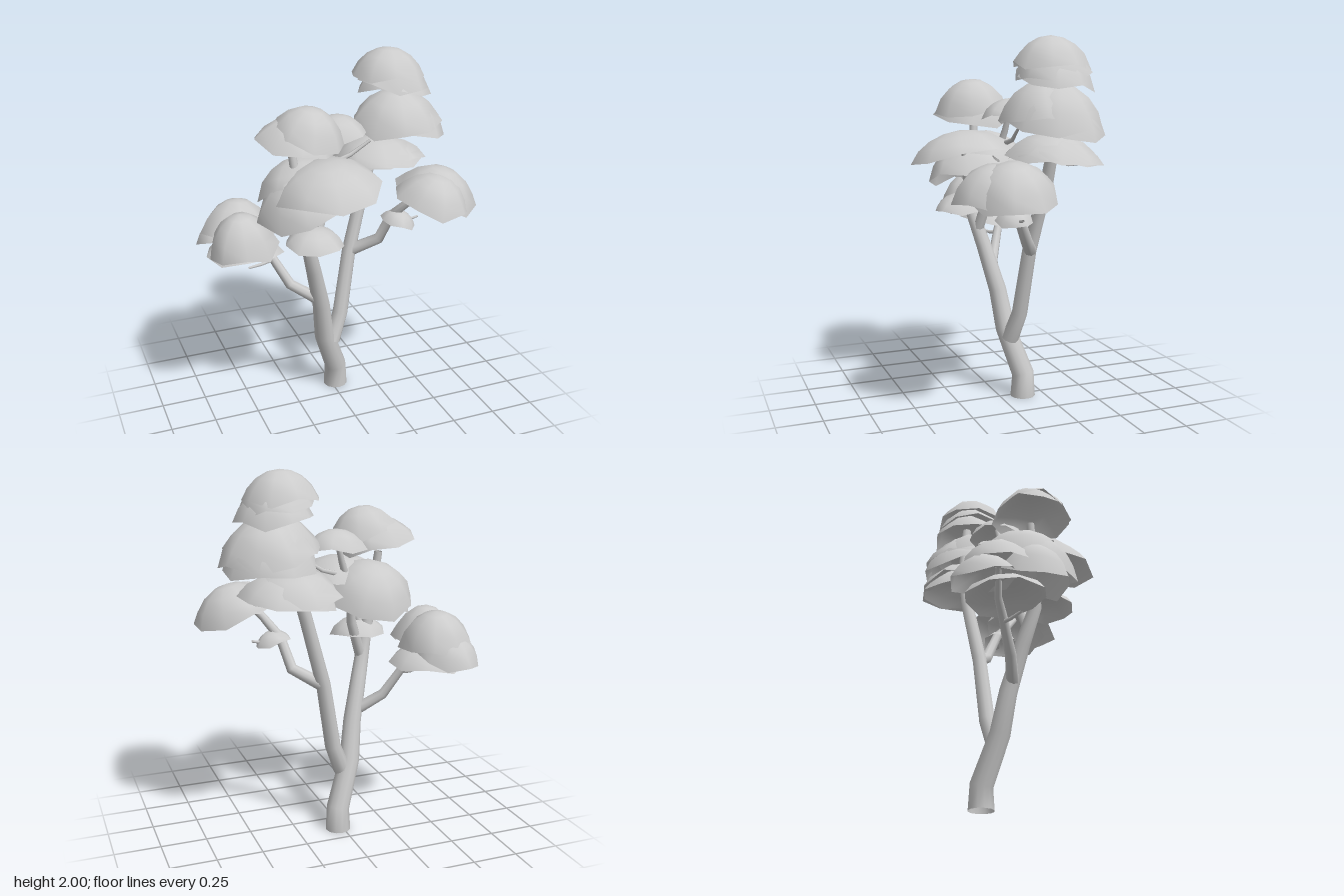
import * as THREE from 'three';

const material = new THREE.MeshStandardMaterial({ color: 0xcccccc, side: THREE.DoubleSide });

// Straight-sided path with one tube ring per point
class BentPath extends THREE.Curve {
  constructor(points) {
    super();
    this.points = points.map(p => new THREE.Vector3(...p));
  }
  getPoint(t, target = new THREE.Vector3()) {
    const n = this.points.length - 1;
    const i = Math.min(Math.floor(t * n), n - 1);
    return target.lerpVectors(this.points[i], this.points[i + 1], t * n - i);
  }
  getPointAt(u, target) { return this.getPoint(u, target); }
  getTangentAt(u, target) { return this.getTangent(u, target); }
}

// Tapered limb along a bent path
function limb(name, points, r0, r1, sides = 10) {
  const path = new BentPath(points);
  const n = points.length - 1;
  const geo = new THREE.TubeGeometry(path, n, 1, sides, false);
  const pos = geo.attributes.position;
  const v = new THREE.Vector3();
  for (let i = 0; i < pos.count; i++) {
    const ring = Math.floor(i / (sides + 1));
    const centre = path.points[ring];
    v.fromBufferAttribute(pos, i).sub(centre);
    v.multiplyScalar(r0 + (r1 - r0) * ring / n).add(centre);
    pos.setXYZ(i, v.x, v.y, v.z);
  }
  const mesh = new THREE.Mesh(geo, material);
  mesh.name = name;
  return mesh;
}

// Open shallow leaf dome with a ragged rim; [x, rim y, z, radius, height, tilts]
function leafCap([x, y, z, r, h, tiltX = 0, tiltZ = 0], index) {
  const sides = 9, rows = 4, sweep = 1.15;
  const geo = new THREE.SphereGeometry(1, sides, rows, 0, Math.PI * 2, 0, sweep);
  const pos = geo.attributes.position;
  const wide = r / Math.sin(sweep);
  const rimY = Math.cos(sweep);
  for (let i = 0; i < pos.count; i++) {
    const row = Math.floor(i / (sides + 1));
    const col = i % (sides + 1) % sides;
    const k = row / rows;
    const spread = wide * (1 + 0.05 * Math.sin(col * 2.4 + index * 1.7) * k);
    const drop = row === rows ? 0.13 * Math.sin(col * 3.9 + index) : 0;
    const up = (pos.getY(i) - rimY) / (1 - rimY) + drop;
    pos.setXYZ(i, pos.getX(i) * spread, up * h, pos.getZ(i) * spread);
  }
  geo.computeVertexNormals();
  // Share normals across the seam and the pole
  const nor = geo.attributes.normal;
  for (let row = 0; row <= rows; row++) {
    const a = row * (sides + 1), b = a + sides;
    const m = new THREE.Vector3().fromBufferAttribute(nor, a)
      .add(new THREE.Vector3().fromBufferAttribute(nor, b)).normalize();
    nor.setXYZ(a, m.x, m.y, m.z);
    nor.setXYZ(b, m.x, m.y, m.z);
  }
  for (let i = 0; i <= sides; i++) nor.setXYZ(i, 0, 1, 0);
  const mesh = new THREE.Mesh(geo, material);
  mesh.name = 'leafCap' + (index + 1);
  mesh.position.set(x, y, z);
  mesh.rotation.set(tiltX, index * 0.7, tiltZ, 'ZXY');
  return mesh;
}

export function createModel() {
  const tree = new THREE.Group();
  tree.name = 'tree';

  // Trunk and main fork
  const wood = new THREE.Group();
  wood.name = 'wood';
  wood.add(
    limb('trunk', [[0.025, 0, -0.13], [0.025, 0.13, -0.13], [-0.07, 0.38, -0.06], [-0.1, 0.6, -0.025],
      [-0.165, 0.85, 0.035], [-0.22, 1.05, 0.09], [-0.25, 1.25, 0.08], [-0.28, 1.53, 0.05]], 0.07, 0.022, 12),
    limb('forkTrunk', [[-0.02, 0.33, -0.07], [0.045, 0.49, -0.1], [0.11, 0.86, -0.13],
      [0.225, 1.25, -0.18], [0.3, 1.5, -0.19], [0.36, 1.82, -0.16]], 0.048, 0.026),
    // Side branches
    limb('lowerRightBranch', [[-0.13, 0.65, -0.01], [-0.27, 0.74, -0.06], [-0.35, 0.89, -0.12],
      [-0.43, 0.97, -0.17], [-0.54, 1.08, -0.2]], 0.034, 0.015, 8),
    limb('lowerLeftBranch', [[0.12, 0.86, -0.13], [0.26, 0.94, -0.05], [0.3, 1.1, 0.02],
      [0.37, 1.2, 0.1], [0.46, 1.3, 0.17]], 0.036, 0.018, 8),
    limb('middleBranch', [[-0.18, 0.95, 0.06], [-0.11, 1.15, 0.02], [-0.085, 1.35, -0.01],
      [-0.03, 1.5, -0.04], [0.01, 1.64, -0.06]], 0.032, 0.014, 8),
    limb('frontBranch', [[-0.22, 1.05, 0.09], [-0.17, 1.2, 0.13], [-0.12, 1.42, 0.17]], 0.03, 0.016, 8),
    // Fine twigs
    limb('upperTwig', [[-0.06, 1.42, -0.02], [0.08, 1.46, -0.04], [0.19, 1.53, -0.03]], 0.016, 0.008, 6),
    limb('rightTwig', [[-0.35, 0.88, -0.12], [-0.42, 0.87, -0.1], [-0.5, 0.875, -0.07]], 0.013, 0.007, 6),
    limb('leftTwig', [[0.3, 1.1, 0.02], [0.38, 1.07, 0.05], [0.45, 1.085, 0.05]], 0.013, 0.007, 6),
  );
  tree.add(wood);

  // Foliage, from the highest crown to the lowest
  const clusters = {
    topCrown: [
      [0.335, 1.85, -0.14, 0.2, 0.15, 0, -0.04],
      [0.36, 1.8, -0.14, 0.195, 0.15, 0.05, -0.12],
      [0.375, 1.76, -0.15, 0.2, 0.15, -0.08, -0.1],
    ],
    upperCrown: [
      [0.365, 1.59, -0.1, 0.25, 0.19, 0.08, 0.02],
      [0.4, 1.56, -0.14, 0.26, 0.21, -0.05, -0.14],
      [0.4, 1.53, -0.17, 0.24, 0.19, -0.15, -0.06],
    ],
    lowerUpperCrown: [
      [0.29, 1.37, -0.18, 0.26, 0.14, -0.08, -0.02],
      [0.32, 1.36, -0.19, 0.25, 0.13, -0.14, 0.05],
    ],
    leftCrown: [
      [0.51, 1.215, 0.13, 0.23, 0.18, 0.08, -0.26],
      [0.455, 1.225, 0.205, 0.21, 0.155, 0.15, -0.18],
      [0.33, 1.07, 0.05, 0.1, 0.065, 0.1, -0.25],
    ],
    middleCrown: [
      [0.01, 1.58, -0.06, 0.165, 0.1, 0, 0.03],
    ],
    rightCrown: [
      [-0.21, 1.62, 0.085, 0.2, 0.16, 0.1, -0.15],
      [-0.27, 1.57, 0.06, 0.215, 0.15, 0.02, -0.22],
      [-0.12, 1.36, 0.17, 0.285, 0.145, 0.1, 0.12],
      [-0.25, 1.24, 0.09, 0.235, 0.2, 0.1, 0.25],
      [-0.2, 1.31, -0.01, 0.255, 0.18, -0.4, 0.06],
      [-0.2, 1.06, 0.15, 0.16, 0.09, 0.04, -0.03],
    ],
    lowerCrown: [
      [-0.54, 1.02, -0.02, 0.19, 0.2, 0.08, 0.08],
      [-0.52, 1.05, -0.2, 0.2, 0.18, -0.1, -0.08],
      [-0.565, 0.98, -0.28, 0.17, 0.13, -0.2, 0.05],
      [-0.5, 0.935, -0.15, 0.215, 0.1, -0.05, -0.02],
    ],
  };
  let index = 0;
  for (const [name, caps] of Object.entries(clusters)) {
    const group = new THREE.Group();
    group.name = name;
    for (const cap of caps) group.add(leafCap(cap, index++));
    tree.add(group);
  }
  return tree;
}
